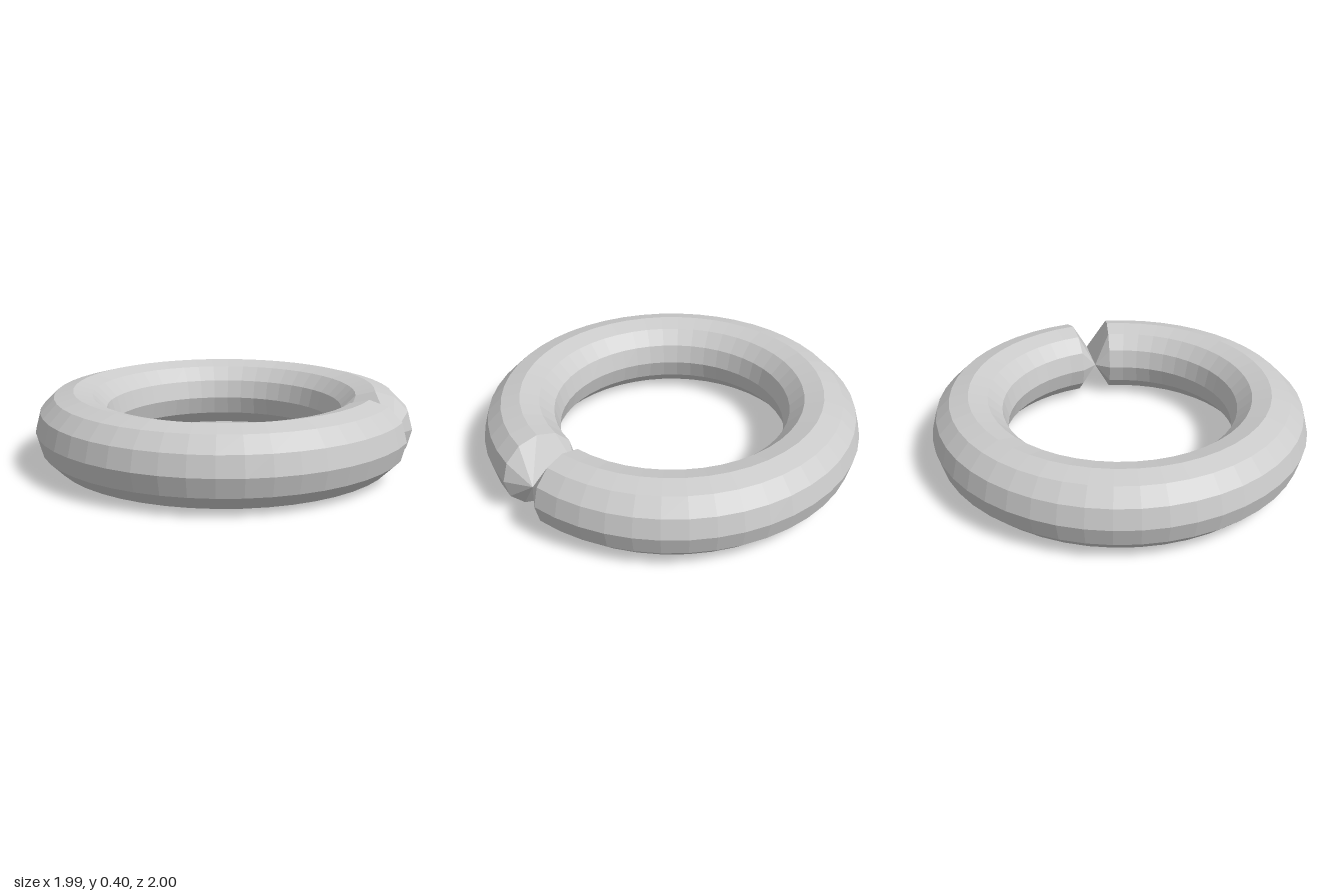
import * as THREE from 'three';

const R = 0.8, r = 0.2, SIDES = 12, SEGMENTS = 48;
const step = (Math.PI * 2) / SEGMENTS; // half of the gap in the ring

// Chisel-shaped end: the last ring of the tube pinched to a short level edge.
function pinchedEnd(sign) {
  const ring = (i) => {
    const t = (i / SIDES) * Math.PI * 2;
    const d = R + r * Math.cos(t);
    return [d * Math.cos(step), r + r * Math.sin(t), sign * d * Math.sin(step)];
  };
  const inner = [0.65, r, 0], outer = [0.91, r, 0];
  const points = [];
  const tri = (a, b, c) => points.push(...(sign < 0 ? [a, b, c] : [a, c, b]).flat());

  // Fans to the nearer tip of the edge
  for (let i = 0; i < SIDES; i++) {
    const isOuter = Math.cos(((i + 0.5) / SIDES) * Math.PI * 2) > 0;
    tri(ring(i), ring(i + 1), isOuter ? outer : inner);
  }
  // Sloping triangles above and below the edge
  tri(ring(SIDES / 4), inner, outer);
  tri(ring((SIDES * 3) / 4), outer, inner);

  const geometry = new THREE.BufferGeometry();
  geometry.setAttribute('position', new THREE.Float32BufferAttribute(points, 3));
  geometry.computeVertexNormals();
  return geometry;
}

export function createModel() {
  const group = new THREE.Group();
  group.name = 'splitRing';
  const material = new THREE.MeshStandardMaterial({ color: 0xcccccc, flatShading: true });
  const add = (name, geometry) => {
    const mesh = new THREE.Mesh(geometry, material);
    mesh.name = name;
    group.add(mesh);
  };

  // Open ring with its gap towards +x
  const body = new THREE.TorusGeometry(R, r, SIDES, SEGMENTS - 2, Math.PI * 2 - 2 * step);
  body.rotateZ(step).rotateX(Math.PI / 2).translate(0, r, 0);
  add('ringBody', body);

  // Pinched ends meeting in the gap
  add('frontEnd', pinchedEnd(1));
  add('backEnd', pinchedEnd(-1));
  return group;
}
